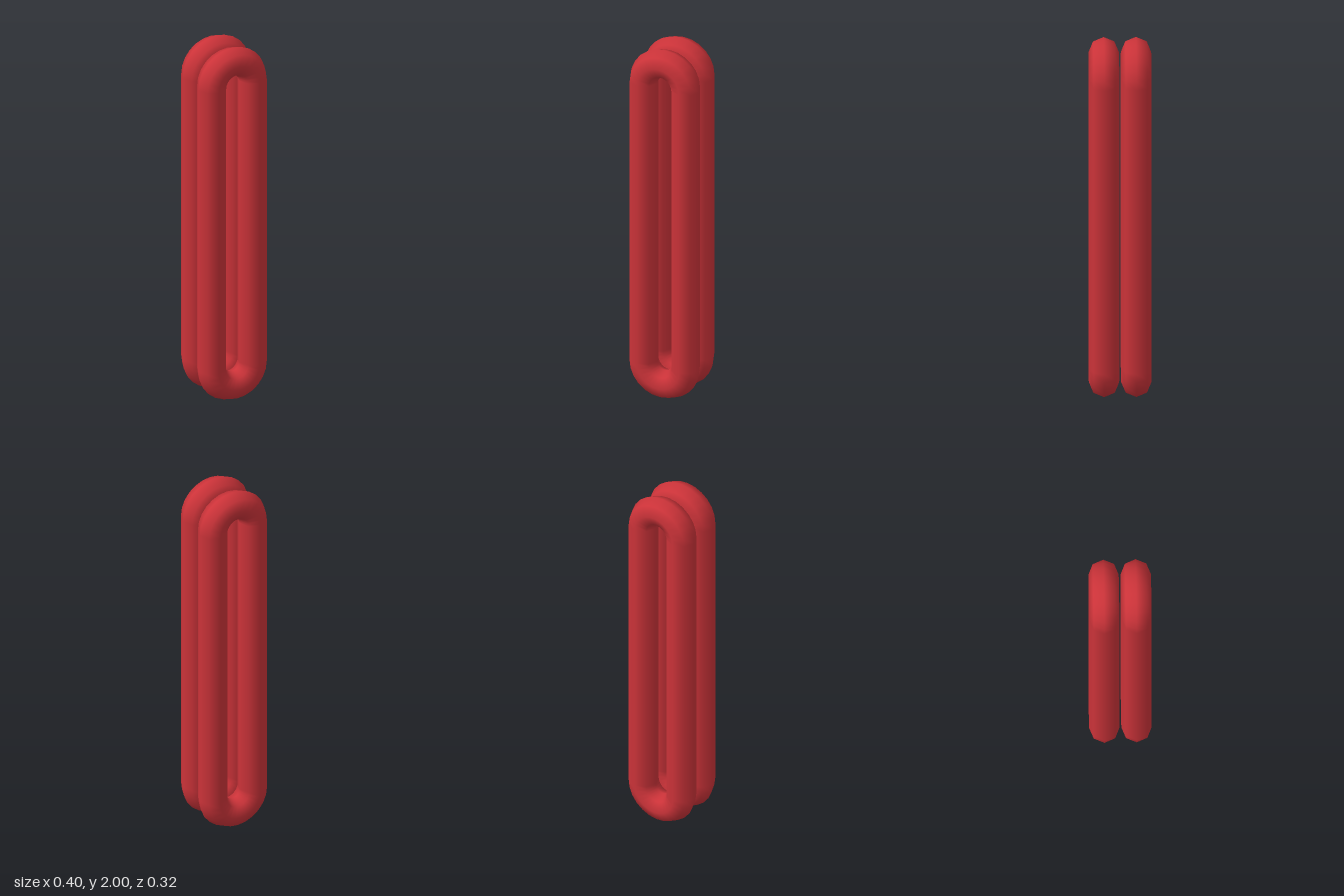
import * as THREE from 'three';
import { mergeGeometries } from 'three/addons/utils/BufferGeometryUtils.js';

const BEND = 0.12;    // radius of the bend's centre line
const ROD = 0.078;    // radius of the eight-sided rod
const LOW = BEND + ROD;
const HIGH = 2 - LOW;

// One closed elongated loop: two straight bars joined by half-ring bends
function linkGeometry() {
  const bend = () => new THREE.TorusGeometry(BEND, ROD, 8, 12, Math.PI);
  const parts = [
    bend().translate(0, HIGH, 0),
    bend().rotateZ(Math.PI).translate(0, LOW, 0),
  ];
  for (const side of [-1, 1]) {
    parts.push(new THREE.CylinderGeometry(ROD, ROD, HIGH - LOW, 8, 1, true)
      .translate(side * BEND, 1, 0));
  }
  return mergeGeometries(parts);
}

export function createModel() {
  const model = new THREE.Group();
  model.name = 'pairOfLinks';
  const red = new THREE.MeshStandardMaterial({ color: 0xcc3339 });
  const geometry = linkGeometry();

  // Two identical links, one behind the other
  for (const [name, z] of [['frontLink', 0.083], ['backLink', -0.083]]) {
    const link = new THREE.Mesh(geometry, red);
    link.name = name;
    link.position.z = z;
    model.add(link);
  }
  return model;
}
